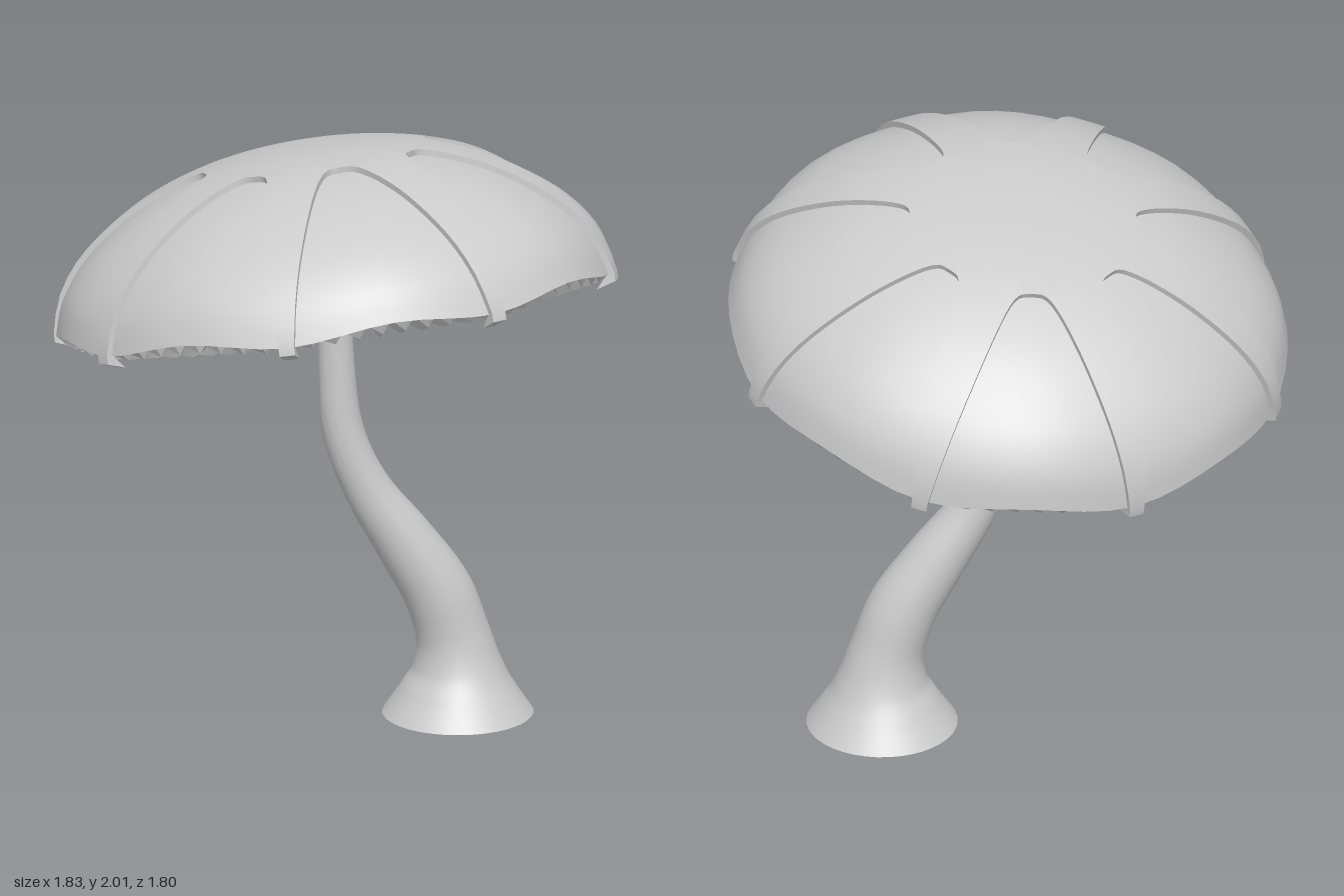
import * as THREE from 'three';
import { toCreasedNormals } from 'three/addons/utils/BufferGeometryUtils.js';

const RIBS = 8;
const STEP = (Math.PI * 2) / RIBS;
const ARCH_START = 0.33; // where the arched panels begin along the cap profile

// Surface made of rows x cols quads, with points given by fn(row, col)
function grid(rows, cols, fn, crease) {
  const pos = [];
  const index = [];
  for (let i = 0; i <= rows; i++) {
    for (let j = 0; j <= cols; j++) {
      pos.push(...fn(i, j));
      if (i < rows && j < cols) {
        const a = i * (cols + 1) + j;
        const c = a + cols + 1;
        index.push(a, a + 1, c, a + 1, c + 1, c);
      }
    }
  }
  const g = new THREE.BufferGeometry();
  g.setAttribute('position', new THREE.Float32BufferAttribute(pos, 3));
  g.setIndex(index);
  return toCreasedNormals(g, crease);
}

// Cap cross-section from crown to rim
const profile = new THREE.SplineCurve([
  [0, 0.5], [0.2, 0.49], [0.4, 0.45], [0.6, 0.37], [0.78, 0.245], [0.88, 0.12], [0.92, 0],
].map(([r, y]) => new THREE.Vector2(r, y)));

// Rim rises between the ribs and dips at each rib
const scallop = (a) => 0.0025 + 0.0175 * Math.cos(RIBS * a);

// Point on the cap, pushed out along the profile normal
function capPoint(t, a, out = 0, drop = 0) {
  const p = profile.getPointAt(t);
  const d = profile.getTangentAt(t);
  const r = Math.max(0, p.x - d.y * out);
  const y = p.y + d.x * out + scallop(a) * t ** 4 - drop;
  return [r * Math.cos(a), y, r * Math.sin(a)];
}

// Half angle of one raised rib at profile position t
function ribHalf(t) {
  if (t <= ARCH_START) return STEP / 2;
  const u = (t - ARCH_START) / (1 - ARCH_START);
  return STEP / 2 - (STEP / 2 - 0.028) * u ** 0.27;
}

// One eighth of the raised crown with its rib running down past the rim
function ribGeometry() {
  const ts = [];
  for (let i = 0; i <= 6; i++) ts.push((ARCH_START * i) / 6);
  for (let i = 1; i <= 28; i++) ts.push(ARCH_START + (1 - ARCH_START) * (i / 28) ** 2.5);
  const last = ts.length + 1;
  const cols = 14;
  return grid(last, cols, (i, j) => {
    const t = Math.min(1, ts[Math.min(i, ts.length - 1)]);
    const s = THREE.MathUtils.clamp((j - 1) / (cols - 2), 0, 1) * 2 - 1;
    const wall = j === 0 || j === cols;
    const low = i >= ts.length ? -0.05 : -0.01;
    const out = wall || i === last ? low : 0.02;
    return capPoint(t, STEP / 2 + s * ribHalf(t), out, i >= ts.length ? 0.03 : 0);
  }, 0.7);
}

// Radial pleats under the cap: rows of [radius, fold top, fold bottom]
function gillGeometry() {
  const rows = [[0.917, 0, 0], [0.895, 0.025, -0.025], [0.82, 0.04, -0.035],
    [0.45, 0.045, 0], [0.01, 0.04, 0.03]];
  const folds = 72;
  return grid(rows.length - 1, folds * 2, (i, j) => {
    const a = (j * Math.PI) / folds;
    const [r, top, bottom] = rows[i];
    const y = (j % 2 ? bottom : top) + (i < 2 ? scallop(a) * (i ? 0.5 : 1) : 0);
    return [r * Math.cos(a), y, r * Math.sin(a)];
  }, 0.3);
}

// Bent stem: control points hold x, y and radius
function stemGeometry() {
  const path = new THREE.CatmullRomCurve3([
    [0, 1.5, 0.053], [0.003, 1.25, 0.06], [0.027, 1, 0.068], [0.105, 0.8, 0.078],
    [0.235, 0.6, 0.1], [0.345, 0.42, 0.115], [0.395, 0.27, 0.122],
    [0.41, 0.16, 0.15], [0.412, 0.08, 0.195], [0.412, 0, 0.248],
  ].map((p) => new THREE.Vector3(...p)));
  const rows = 54;
  return grid(rows, 40, (i, j) => {
    const t = i / rows;
    const p = path.getPoint(t);
    const d = path.getTangent(t);
    // rings lie square to the path, levelling out at the foot
    const tilt = Math.atan2(d.x, -d.y) * (1 - THREE.MathUtils.smoothstep(t, 0.75, 1));
    const a = (j / 40) * Math.PI * 2;
    const c = p.z * Math.cos(a);
    return [p.x + c * Math.cos(tilt), p.y + c * Math.sin(tilt), p.z * Math.sin(a)];
  }, 0.8);
}

export function createModel() {
  const model = new THREE.Group();
  model.name = 'mushroom';
  const solid = new THREE.MeshStandardMaterial({ color: 0xcccccc });
  const thin = new THREE.MeshStandardMaterial({ color: 0xcccccc, side: THREE.DoubleSide });
  const add = (parent, name, geometry, material) => {
    const mesh = new THREE.Mesh(geometry, material);
    mesh.name = name;
    parent.add(mesh);
    return mesh;
  };

  add(model, 'stem', stemGeometry(), thin);

  // Cap leans back and to one side
  const cap = new THREE.Group();
  cap.name = 'cap';
  cap.position.set(0, 1.455, 0);
  cap.quaternion.setFromUnitVectors(
    new THREE.Vector3(0, 1, 0), new THREE.Vector3(-0.09, 1, -0.22).normalize());
  model.add(cap);

  add(cap, 'dome', grid(28, 64, (i, j) => capPoint(i / 28, (j / 64) * Math.PI * 2), 0.8), thin);
  add(cap, 'gills', gillGeometry(), thin);

  const rib = ribGeometry();
  for (let k = 0; k < RIBS; k++) add(cap, 'rib', rib, solid).rotation.y = k * STEP;
  return model;
}
